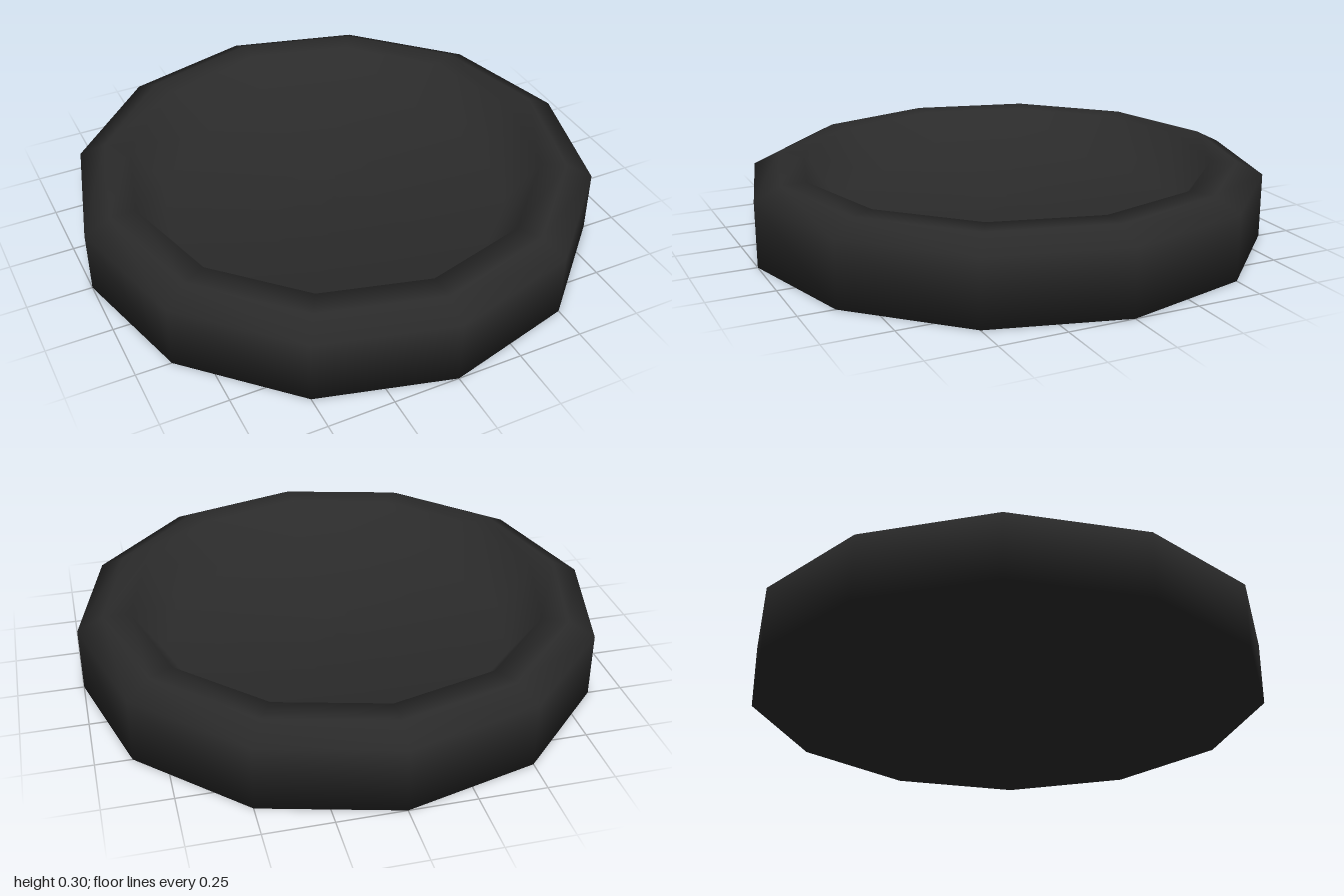
import * as THREE from 'three';

export function createModel() {
  const group = new THREE.Group();
  group.name = 'dish';

  const darkGrey = new THREE.MeshStandardMaterial({ color: 0x2b2b2b, side: THREE.DoubleSide });
  darkGrey.name = 'darkGrey';

  // Closed profile: flat base, upright wall, bevelled rim, steep inner wall, shallow floor
  const profile = [
    [0, 0], [1, 0], [1, 0.25], [0.9, 0.3], [0.8, 0.3], [0.68, 0.12], [0, 0.1],
  ].map(([r, y]) => new THREE.Vector2(r, y));

  // Twelve sides with smooth normals
  const bowl = new THREE.Mesh(new THREE.LatheGeometry(profile, 12), darkGrey);
  bowl.name = 'bowl';
  group.add(bowl);

  return group;
}
